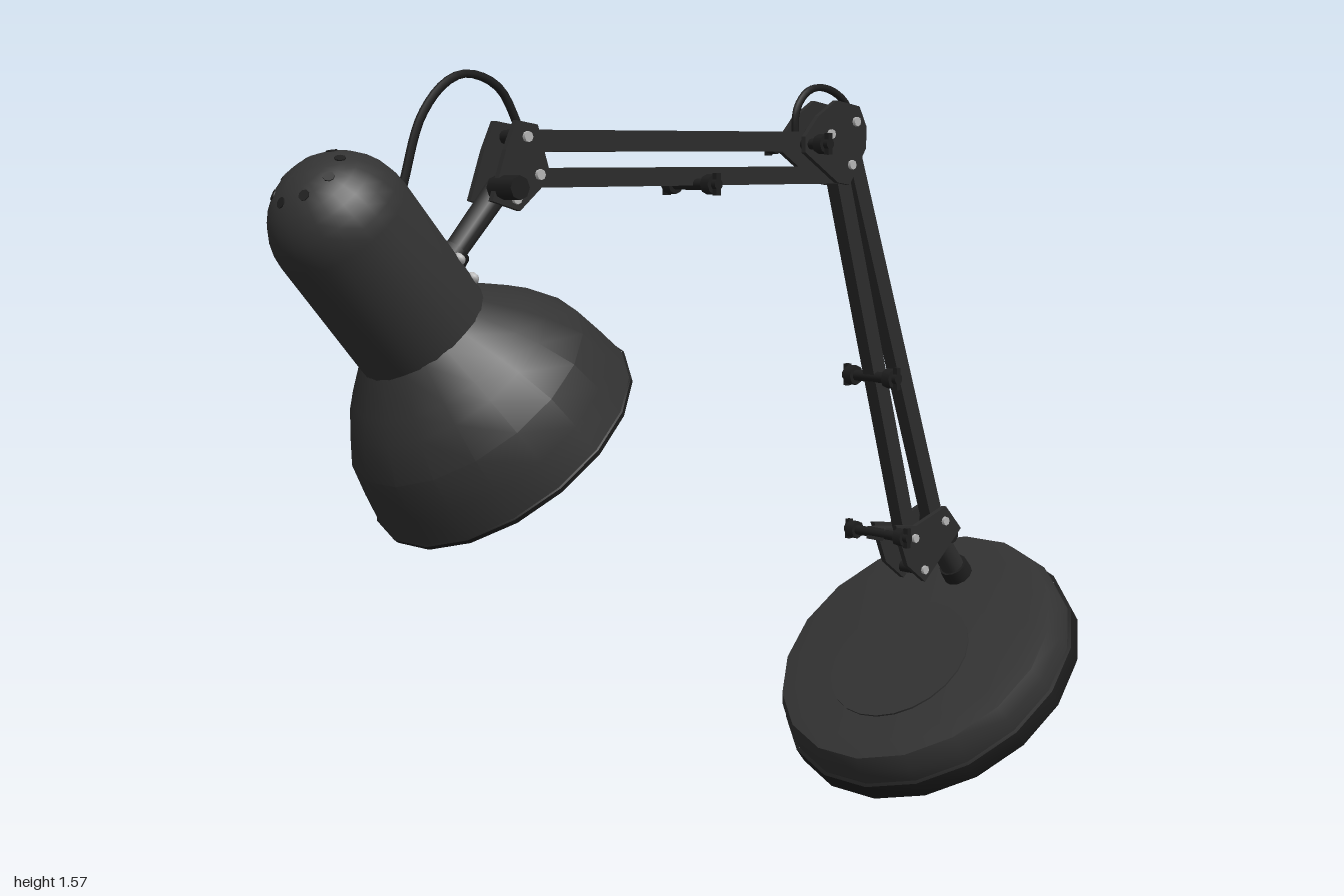
import * as THREE from 'three';
import { toCreasedNormals } from 'three/addons/utils/BufferGeometryUtils.js';

const mat = (name, color, side = THREE.FrontSide) => {
  const m = new THREE.MeshStandardMaterial({ color, side });
  m.name = name;
  return m;
};
const V2 = (p) => new THREE.Vector2(p[0], p[1]);

export function createModel() {
  const model = new THREE.Group();
  model.name = 'deskLamp';
  const enamel = mat('blackEnamel', 0x333333);
  const armPaint = mat('armBlack', 0x2c2c2c);
  const rubber = mat('rubberBlack', 0x1e1e1e);
  const reflector = mat('reflectorWhite', 0xd2d2d2);
  const glass = mat('bulbGlass', 0xcccccc);
  const steel = mat('screwSteel', 0xb8b8b8);

  const add = (parent, name, geo, material, x = 0, y = 0, z = 0) => {
    const mesh = new THREE.Mesh(geo, material);
    mesh.name = name;
    mesh.position.set(x, y, z);
    parent.add(mesh);
    return mesh;
  };
  const group = (name, x = 0, y = 0, rot = 0) => {
    const g = new THREE.Group();
    g.name = name;
    g.position.set(x, y, 0);
    g.rotation.z = rot;
    model.add(g);
    return g;
  };
  const lathe = (pts, seg, crease = 0.6) =>
    toCreasedNormals(new THREE.LatheGeometry(pts.map(V2), seg), crease);
  // Cylinder lying along z
  const pin = (parent, name, x, y, z, r, len, material, sides = 10) =>
    add(parent, name, new THREE.CylinderGeometry(r, r, len, sides).rotateX(Math.PI / 2), material, x, y, z);
  // Straight square bar between two points in the xy plane
  const bar = (parent, name, a, b, w, d, z = 0) => {
    const dx = b[0] - a[0], dy = b[1] - a[1];
    const m = add(parent, name, new THREE.BoxGeometry(Math.hypot(dx, dy), w, d), armPaint,
      (a[0] + b[0]) / 2, (a[1] + b[1]) / 2, z);
    m.rotation.z = Math.atan2(dy, dx);
  };
  // Round rod between two points in the xy plane
  const rod = (parent, name, a, b, r0, r1, material) => {
    const dx = b[0] - a[0], dy = b[1] - a[1];
    const m = add(parent, name, new THREE.CylinderGeometry(r1, r0, Math.hypot(dx, dy), 12), material,
      (a[0] + b[0]) / 2, (a[1] + b[1]) / 2);
    m.rotation.z = Math.atan2(dy, dx) - Math.PI / 2;
  };
  // Pair of joint plates with screws on their outer faces
  const jointPlates = (name, outline, screws) => {
    const g = group(name);
    const geo = new THREE.ExtrudeGeometry(new THREE.Shape(outline.map(V2)), { depth: 0.012, bevelEnabled: false });
    for (const s of [1, -1]) {
      add(g, 'jointPlate', geo, armPaint, 0, 0, s * 0.032 - 0.006);
      for (const [x, y] of screws) pin(g, 'screw', x, y, s * 0.041, 0.01, 0.008, steel, 8);
    }
    for (const [x, y] of screws) pin(g, 'pivot', x, y, 0, 0.013, 0.06, rubber);
    return g;
  };
  // Cross bolt with a knob at each end
  const knobBolt = (parent, x, y, half, r) => {
    pin(parent, 'crossBolt', x, y, 0, r * 0.55, half * 2, rubber);
    for (const s of [1, -1]) {
      pin(parent, 'knob', x, y, s * (half - 0.022), r, 0.022, rubber, 8);
      add(parent, 'knobWing', new THREE.BoxGeometry(0.012, r * 2.2, 0.012), rubber, x, y, s * (half - 0.006));
    }
  };
  const cable = (name, pts) => add(group(name), 'cable', new THREE.TubeGeometry(
    new THREE.CatmullRomCurve3(pts.map((p) => new THREE.Vector3(p[0], p[1], 0))), 24, 0.008, 6), rubber);

  // Weighted base, tilted
  const base = group('base', 0.712, 0.238, 0.686);
  add(base, 'baseFoot', lathe([[0, 0], [0.355, 0], [0.36, 0.008], [0.36, 0.048], [0.352, 0.05]], 18), rubber);
  add(base, 'baseBody', lathe([[0.352, 0.046], [0.35, 0.085], [0.335, 0.118], [0.29, 0.125], [0, 0.128]], 18), enamel);
  add(base, 'basePad', new THREE.CylinderGeometry(0.17, 0.17, 0.004, 24), enamel, -0.055, 0.129, 0);

  // Stem and lower bracket
  const stem = group('stem');
  rod(stem, 'stemPost', [0.808, 0.45], [0.70, 0.582], 0.027, 0.027, armPaint);
  rod(stem, 'stemCollar', [0.812, 0.448], [0.774, 0.494], 0.036, 0.033, rubber);
  pin(stem, 'stemKnob', 0.742, 0.572, 0, 0.02, 0.05, rubber);
  const lower = jointPlates('lowerBracket',
    [[0.526, 0.622], [0.595, 0.612], [0.70, 0.645], [0.755, 0.588], [0.63, 0.48], [0.568, 0.525]],
    [[0.625, 0.508], [0.695, 0.612], [0.59, 0.585]]);
  knobBolt(lower, 0.508, 0.602, 0.092, 0.02);
  bar(lower, 'boltTab', [0.5, 0.602], [0.57, 0.595], 0.028, 0.05);

  // Lower arm: two parallel bars and a cross bolt
  const lowerArm = group('lowerArm');
  bar(lowerArm, 'lowerArmBar', [0.362, 1.40], [0.605, 0.58], 0.04, 0.032);
  bar(lowerArm, 'lowerArmBar', [0.388, 1.475], [0.705, 0.59], 0.04, 0.032);
  knobBolt(lowerArm, 0.482, 0.955, 0.078, 0.022);

  // Elbow
  const elbow = jointPlates('elbow',
    [[0.225, 1.472], [0.265, 1.515], [0.32, 1.548], [0.39, 1.537], [0.413, 1.495], [0.412, 1.45], [0.362, 1.373], [0.325, 1.378], [0.225, 1.44]],
    [[0.378, 1.505], [0.365, 1.415], [0.30, 1.478]]);
  knobBolt(elbow, 0.242, 1.457, 0.092, 0.02);

  // Upper arm
  const upperArm = group('upperArm');
  bar(upperArm, 'upperArmBar', [-0.51, 1.456], [0.31, 1.463], 0.04, 0.032);
  bar(upperArm, 'upperArmBar', [-0.49, 1.389], [0.355, 1.394], 0.036, 0.032);
  knobBolt(upperArm, -0.063, 1.376, 0.078, 0.02);

  // Head joint and neck
  const head = jointPlates('headJoint',
    [[-0.53, 1.492], [-0.482, 1.485], [-0.452, 1.39], [-0.525, 1.33], [-0.588, 1.348], [-0.555, 1.44]],
    [[-0.508, 1.463], [-0.48, 1.395], [-0.535, 1.352]]);
  pin(head, 'headKnob', -0.562, 1.372, 0.05, 0.022, 0.07, rubber, 8);
  rod(head, 'neckRod', [-0.54, 1.375], [-0.69, 1.21], 0.024, 0.02, armPaint);
  rod(head, 'neckCollar', [-0.645, 1.26], [-0.685, 1.215], 0.03, 0.036, rubber);

  // Shade: the group's +y runs from the rim to the dome
  const shade = group('shade', -0.545, 0.913, 0.701);
  const bell = [[0.274, 0], [0.262, 0.065], [0.247, 0.13], [0.208, 0.19], [0.18, 0.222], [0.128, 0.275]];
  const dome = [];
  for (let i = 0; i <= 8; i++) {
    const a = (i / 8) * Math.PI / 2;
    dome.push([0.128 * Math.cos(a), 0.518 + 0.128 * Math.sin(a)]);
  }
  add(shade, 'shadeBell', lathe(bell, 18, 0.45), enamel);
  add(shade, 'shadeHousing', lathe([[0.128, 0.27], ...dome], 24, 0.5), enamel);
  add(shade, 'shadeRim', lathe([[0.262, 0.004], [0.264, -0.003], [0.274, -0.003], [0.276, 0.006], [0.273, 0.008]], 18), rubber);
  const inner = bell.map(([r, y]) => [r - 0.009, y]).reverse();
  add(shade, 'reflectorLining', lathe([[0, 0.3], [0.119, 0.295], ...inner], 18, 0.45), reflector);
  // Dome vents
  for (let i = 0; i < 8; i++) {
    const n = new THREE.Vector3().setFromSphericalCoords(1, 0.55, (i / 8) * Math.PI * 2);
    const vent = add(shade, 'vent', new THREE.CylinderGeometry(0.01, 0.01, 0.004, 8), rubber,
      n.x * 0.127, 0.518 + n.y * 0.127, n.z * 0.127);
    vent.quaternion.setFromUnitVectors(new THREE.Vector3(0, 1, 0), n);
  }
  // Mounting screws on the side of the housing facing the arm
  for (const s of [1, -1]) {
    for (const y of [0.30, 0.345]) {
      const screw = add(shade, 'housingScrew', new THREE.SphereGeometry(0.012, 8, 6), steel, 0.112, y, s * 0.062);
      screw.scale.set(0.8, 1, 1);
    }
  }

  // Bulb with tapering neck and socket
  const bulb = [[0, -0.11]];
  for (let i = 1; i <= 9; i++) {
    const a = -Math.PI / 2 + (i / 9) * 2.2;
    bulb.push([0.11 * Math.cos(a), 0.11 * Math.sin(a)]);
  }
  bulb.push([0.062, 0.13], [0.045, 0.2]);
  add(shade, 'bulb', lathe(bulb, 18, 1.2), glass, 0, -0.002, 0);
  add(shade, 'socket', new THREE.CylinderGeometry(0.05, 0.05, 0.11, 14), reflector, 0, 0.245, 0);

  // Loose cable loops at head and elbow
  cable('headCable', [[-0.765, 1.34], [-0.75, 1.39], [-0.713, 1.495], [-0.66, 1.555], [-0.61, 1.573], [-0.54, 1.55], [-0.49, 1.47]]);
  cable('elbowCable', [[0.235, 1.46], [0.237, 1.525], [0.265, 1.562], [0.305, 1.575], [0.36, 1.563], [0.398, 1.53], [0.395, 1.47]]);

  return model;
}
